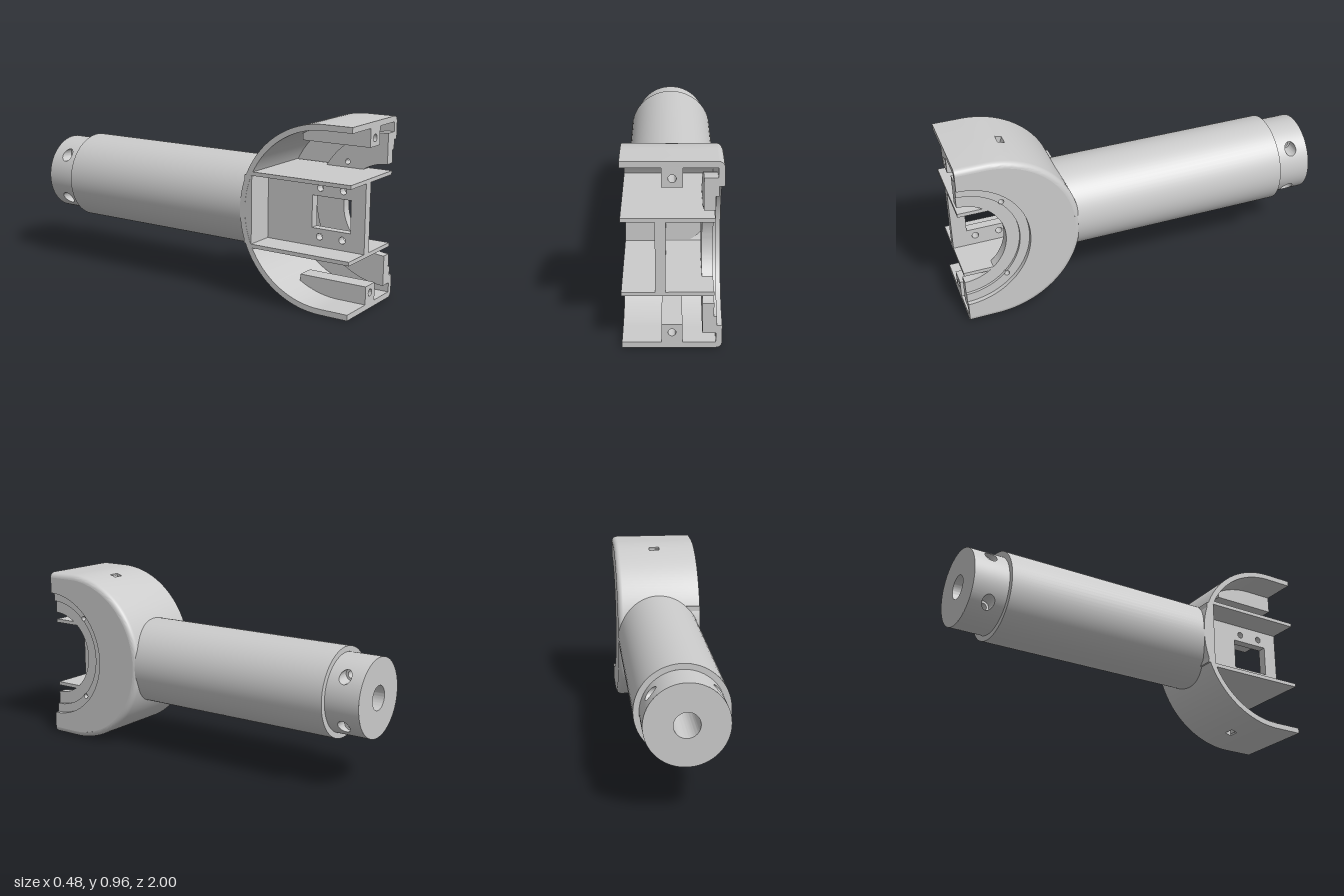
import * as THREE from 'three';
import { toCreasedNormals } from 'three/addons/utils/BufferGeometryUtils.js';

const material = new THREE.MeshStandardMaterial({ color: 0xcccccc });
const thinMaterial = new THREE.MeshStandardMaterial({ color: 0xcccccc, side: THREE.DoubleSide });
const PI = Math.PI;
const BEND = 0.845; // z of the housing arc centre

export function createModel() {
  const model = new THREE.Group();
  model.name = 'handleWithHalfHousing';
  const body = new THREE.Group(); // modelled around y = 0, then lifted
  body.name = 'body';
  body.position.y = 0.48;
  model.add(body);

  const add = (name, geometry, mat = material, parent = body) => {
    const mesh = new THREE.Mesh(toCreasedNormals(geometry, 0.5), mat);
    mesh.name = name;
    parent.add(mesh);
    return mesh;
  };
  const box = (name, x0, x1, y0, y1, z0, z1) =>
    add(name, new THREE.BoxGeometry(x1 - x0, y1 - y0, z1 - z0)
      .translate((x0 + x1) / 2, (y0 + y1) / 2, (z0 + z1) / 2));
  const circle = (x, y, r) => new THREE.Path().absarc(x, y, r, 0, PI * 2, true);
  const polygon = (pts) => new THREE.Shape(pts.map(([x, y]) => new THREE.Vector2(x, y)));
  const extrude = (shape, depth) =>
    new THREE.ExtrudeGeometry(shape, { depth, bevelEnabled: false, curveSegments: 40 });
  // Side profiles use (-z, y) and are extruded along x
  const slab = (name, shape, x0, x1) =>
    add(name, extrude(shape, x1 - x0).rotateY(PI / 2).translate(x0, 0, 0));
  const latheZ = (pts) => new THREE.LatheGeometry(pts.map(([r, z]) => new THREE.Vector2(r, z)), 72).rotateX(PI / 2);
  const quadSurface = (quads) => {
    const geometry = new THREE.BufferGeometry();
    const pos = quads.flatMap(([a, b, c, d]) => [a, b, c, a, c, d].flat());
    geometry.setAttribute('position', new THREE.Float32BufferAttribute(pos, 3));
    geometry.computeVertexNormals();
    return geometry;
  };

  // Curved housing wall, with nut slots, a tube opening and one rounded edge
  const R = 0.48, RI = 0.45;
  const point = (a, r, x) => {
    const c = Math.min(PI, Math.max(0, a));
    return [x, r * Math.cos(c), a === c ? BEND - r * Math.sin(c) : 1];
  };
  const s0 = Math.asin(0.12 / R), s1 = Math.asin(0.155 / R), t0 = Math.acos(0.21);
  const spans = [[-1, 0, 0, 1], [0, s0, 0, 6], [s0, s1, 0.03, 2], [s1, t0, 0, 24], [t0, PI - t0, 0.1, 10],
    [PI - t0, PI - s1, 0, 24], [PI - s1, PI - s0, 0.03, 2], [PI - s0, PI, 0, 6], [PI, PI + 1, 0, 1]];
  const rim = Array.from({ length: 7 }, (_, k) =>
    [RI + 0.03 * Math.cos(k * PI / 12), 0.21 + 0.03 * Math.sin(k * PI / 12)]);
  const wall = [];
  for (const [from, to, gap, n] of spans) {
    const strip = (a, b, r0, x0, r1, x1) =>
      wall.push([point(a, r0, x0), point(a, r1, x1), point(b, r1, x1), point(b, r0, x0)]);
    for (let i = 0; i < n; i++) {
      const a = from + (to - from) * i / n, b = from + (to - from) * (i + 1) / n;
      for (const [x0, x1] of gap ? [[-0.24, -gap], [gap, 0.21]] : [[-0.24, 0.21]]) {
        strip(a, b, R, x1, R, x0);
        strip(a, b, RI, x0, RI, x1);
        strip(a, b, R, x0, RI, x0);
        strip(a, b, RI, x1, R, x1);
      }
      for (let k = 0; k < 6; k++) strip(a, b, rim[k + 1][0], rim[k + 1][1], rim[k][0], rim[k][1]);
    }
    // Walls across the ends of each opening
    if (gap) for (const a of [from, to])
      wall.push([point(a, R, -gap), point(a, R, gap), point(a, RI, gap), point(a, RI, -gap)]);
  }
  for (const a of [-1, PI + 1]) {
    wall.push([point(a, R, -0.24), point(a, R, 0.21), point(a, RI, 0.21), point(a, RI, -0.24)]);
    for (let k = 0; k < 6; k++)
      wall.push([point(a, RI, rim[k][1]), point(a, rim[k][0], rim[k][1]),
        point(a, rim[k + 1][0], rim[k + 1][1]), point(a, RI, rim[k + 1][1])]);
  }
  add('housingWall', quadSurface(wall), thinMaterial);

  // Side plate and stepped half-round bearing seat
  const closeBore = (shape, bore) => shape.lineTo(-1, bore).absarc(-1, 0, bore, PI / 2, -PI / 2, true);
  const plateShape = (bore) => closeBore(new THREE.Shape().moveTo(-1, -RI).lineTo(-BEND, -RI)
    .absarc(-BEND, 0, RI, -PI / 2, PI / 2, false).lineTo(-1, RI), bore);
  const ringShape = (r, bore) => closeBore(new THREE.Shape().absarc(-1, 0, r, -PI / 2, PI / 2, false), bore);
  const drilled = (shape) => {
    for (const s of [-1, 1]) shape.holes.push(circle(-0.775, s * 0.23, 0.014));
    return shape;
  };
  slab('sidePlate', plateShape(0.36), 0.215, 0.24);
  slab('sidePlateStep', drilled(plateShape(0.31)), 0.21, 0.215);
  slab('bearingSeatStep', drilled(ringShape(0.4, 0.31)), 0.2, 0.21);
  slab('bearingSeat', drilled(ringShape(0.4, 0.24)), 0.145, 0.2);

  // Shelves and the upright mounting plate between them
  for (const s of [-1, 1])
    box(s > 0 ? 'upperShelf' : 'lowerShelf', -0.24, 0.199, s * 0.19 - 0.01, s * 0.19 + 0.01, 0.425, 1);
  const mount = polygon([[-1, -0.181], [-0.41, -0.181], [-0.41, 0.181], [-1, 0.181]]);
  mount.holes.push(polygon([[-0.92, -0.085], [-0.92, 0.085], [-0.7, 0.085], [-0.7, -0.085]]));
  for (const z of [0.875, 0.745]) for (const s of [-1, 1]) mount.holes.push(circle(-z, s * 0.127, 0.018));
  slab('mountingPlate', mount, -0.08, -0.03);
  box('rearFill', -0.239, -0.08, -0.181, 0.181, 0.39, 0.435);

  // Screw blocks with a pocket for the nut
  for (const s of [1, -1]) {
    const block = new THREE.Group();
    block.name = s > 0 ? 'upperScrewBlock' : 'lowerScrewBlock';
    block.scale.y = s;
    body.add(block);
    const front = polygon([[-0.05, 0.355], [0.05, 0.355], [0.05, 0.455], [-0.05, 0.455]]);
    front.holes.push(circle(0, 0.397, 0.019));
    const pocket = polygon([[-0.05, 0.355], [0.05, 0.355], [0.05, 0.445], [0.03, 0.445],
      [0.03, 0.37], [-0.03, 0.37], [-0.03, 0.445], [-0.05, 0.445]]);
    const back = polygon([[-0.05, 0.355], [0.05, 0.355], [0.05, 0.42], [-0.05, 0.42]]);
    add('blockFront', extrude(front, 0.275).translate(0, 0, 0.725), material, block);
    add('nutPocket', extrude(pocket, 0.035).translate(0, 0, 0.69), material, block);
    add('blockBack', extrude(back, 0.07).translate(0, 0, 0.62), material, block);
  }

  // Handle tube, its front edge following the housing curve
  const tube = latheZ([[0.21, -0.81], [0.24, -0.81], [0.24, 0.4]]);
  const p = tube.attributes.position;
  for (let i = 0; i < p.count; i++)
    if (p.getZ(i) > 0) p.setZ(i, BEND - Math.sqrt(0.465 ** 2 - p.getY(i) ** 2));
  add('handleTube', tube, thinMaterial);
  add('cableBore', latheZ([[0.21, -1], [0.065, -1], [0.065, 0.43], [0.2, 0.43], [0.2, 0.38]]), thinMaterial);

  // End collar skin with four counterbored screw openings
  const rc = 0.21, zc = -0.9, hy = 0.127, hr = 0.033;
  const quarter = [];
  const e0 = Math.asin((hy - hr) / rc), e1 = Math.asin((hy + hr) / rc);
  for (let i = 0; i < 8; i++) quarter.push([e0 * i / 8, 0]);
  for (let i = 0; i <= 16; i++) {
    const t = PI * i / 16;
    quarter.push([Math.asin((hy - hr * Math.cos(t)) / rc), hr * Math.sin(t)]);
  }
  for (let i = 1; i <= 10; i++) quarter.push([e1 + (PI / 2 - e1) * i / 10, 0]);
  const flip = (turn) => quarter.map(([a, h]) => [turn - a, h]).reverse();
  const columns = [...quarter, ...flip(PI), ...quarter.map(([a, h]) => [a + PI, h]), ...flip(2 * PI)];
  const collar = [];
  for (let i = 0; i + 1 < columns.length; i++) {
    const [[a, ha], [b, hb]] = [columns[i], columns[i + 1]];
    const at = (t, z) => [rc * Math.cos(t), rc * Math.sin(t), z];
    const deep = (t, z) => [0.1 * Math.sign(Math.cos(t)), rc * Math.sin(t), z];
    collar.push([at(a, -1), at(b, -1), at(b, zc - hb), at(a, zc - ha)]);
    collar.push([at(a, zc + ha), at(b, zc + hb), at(b, -0.81), at(a, -0.81)]);
    if (ha + hb > 1e-6) for (const s of [-1, 1])
      collar.push([at(a, zc + s * ha), at(b, zc + s * hb), deep(b, zc + s * hb), deep(a, zc + s * ha)]);
  }
  add('endCollar', quadSurface(collar), thinMaterial);
  for (const s of [-1, 1]) {
    const bore = new THREE.LatheGeometry(
      [[hr, -0.1], [0.021, -0.1], [0.021, 0.1], [hr, 0.1]].map(([r, y]) => new THREE.Vector2(r, y)), 32);
    add('collarScrewBore', bore.rotateZ(PI / 2).translate(0, s * hy, zc), thinMaterial);
  }
  return model;
}
